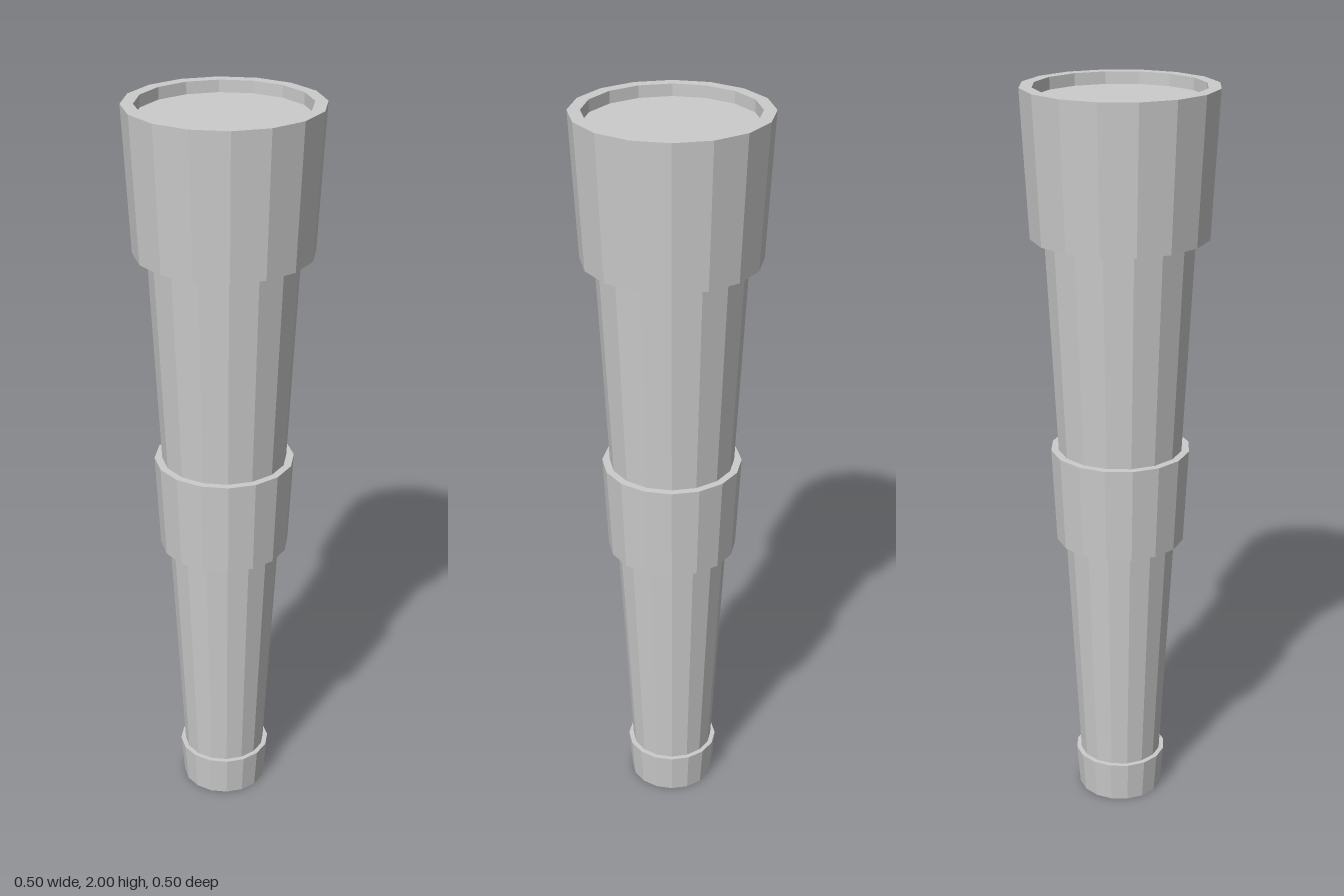
import * as THREE from 'three';

const SIDES = 16;
const CORNER = 1 / Math.cos(Math.PI / SIDES); // flat-to-flat half width -> corner radius

export function createModel() {
  const group = new THREE.Group();
  group.name = 'spyglass';
  const material = new THREE.MeshStandardMaterial({ color: 0xcccccc, flatShading: true });

  // Faceted ring of revolution; profile is [half width, y] running up the outside
  const addSection = (name, profile) => {
    const points = profile.map(([r, y]) => new THREE.Vector2(r * CORNER, y));
    const geometry = new THREE.LatheGeometry(points, SIDES, Math.PI / SIDES);
    const mesh = new THREE.Mesh(geometry, material);
    mesh.name = name;
    group.add(mesh);
  };

  // Eyepiece with closed base and a small step up to the tube
  addSection('eyepiece', [[0, 0], [0.115, 0], [0.124, 0.115], [0.111, 0.115]]);

  // Narrow draw tube
  addSection('lowerTube', [[0.111, 0.115], [0.147, 0.78]]);

  // Middle collar
  addSection('middleCollar', [[0.147, 0.78], [0.171, 0.78], [0.184, 1.04], [0.164, 1.04]]);

  // Wide draw tube
  addSection('upperTube', [[0.164, 1.04], [0.193, 1.62]]);

  // Front collar with rim and inner wall
  addSection('objectiveCollar', [[0.193, 1.62], [0.229, 1.62], [0.249, 2], [0.217, 2], [0.217, 1.968]]);

  // Recessed lens
  addSection('lens', [[0.217, 1.968], [0, 1.968]]);

  return group;
}
